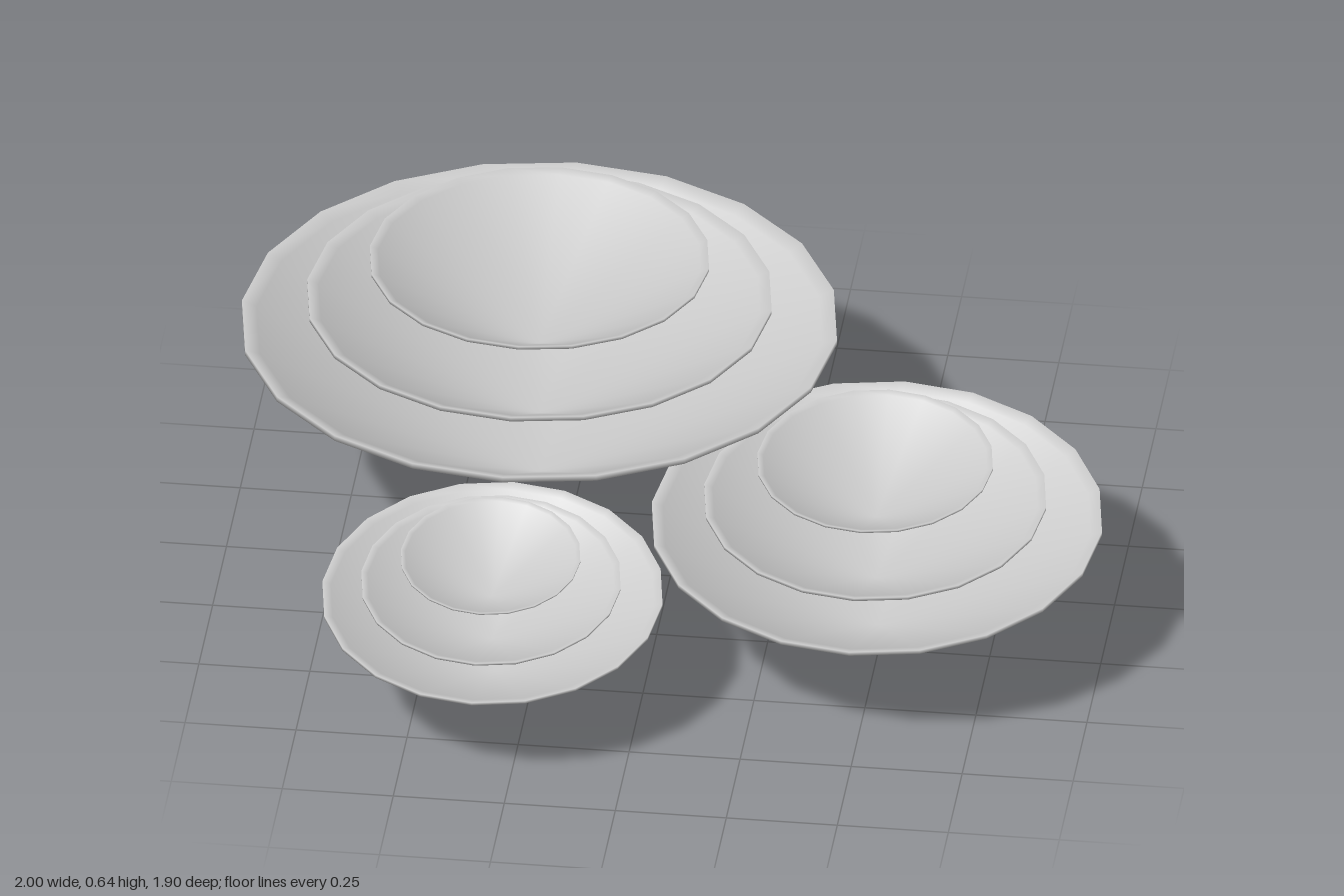
import * as THREE from 'three';
import { mergeVertices } from 'three/addons/utils/BufferGeometryUtils.js';

const SIDES = 20;

// Unit conical bowl: pointed foot at the origin, thin shell, rim radius 1
function bowlGeometry() {
  const profile = [[0, 0], [1, 0.61], [1, 0.63], [0.95, 0.61], [0, 0.035]]
    .map(([r, y]) => new THREE.Vector2(r, y));
  let geo = new THREE.LatheGeometry(profile, SIDES);
  geo.deleteAttribute('uv');
  geo.deleteAttribute('normal');
  geo = mergeVertices(geo, 1e-4);
  geo.computeVertexNormals(); // smooth across the tip and the rim
  return geo;
}

// Each cluster: x position, forward tilt in degrees, layers of [radius, tip y, tip z]
const CLUSTERS = [
  { name: 'largeCluster', x: -0.33, tilt: 0,
    layers: [[0.67, 0.053, -0.28], [0.523, 0.212, -0.28], [0.382, 0.4, -0.28]] },
  { name: 'mediumCluster', x: 0.49, tilt: 5,
    layers: [[0.507, 0, 0.175], [0.385, 0.152, 0.213], [0.265, 0.32, 0.22]] },
  { name: 'smallCluster', x: -0.33, tilt: 8.5,
    layers: [[0.383, 0.045, 0.535], [0.292, 0.152, 0.57], [0.202, 0.276, 0.585]] },
];

export function createModel() {
  const model = new THREE.Group();
  const geo = bowlGeometry();
  const material = new THREE.MeshStandardMaterial({ color: 0xcccccc });
  const layerNames = ['lowerBowl', 'middleBowl', 'upperBowl'];

  for (const { name, x, tilt, layers } of CLUSTERS) {
    const cluster = new THREE.Group();
    cluster.name = name;
    cluster.position.x = x;
    layers.forEach(([radius, y, z], i) => {
      const bowl = new THREE.Mesh(geo, material);
      bowl.name = layerNames[i];
      bowl.scale.setScalar(radius);
      bowl.position.set(0, y, z);
      bowl.rotation.x = THREE.MathUtils.degToRad(tilt);
      cluster.add(bowl);
    });
    model.add(cluster);
  }
  return model;
}
